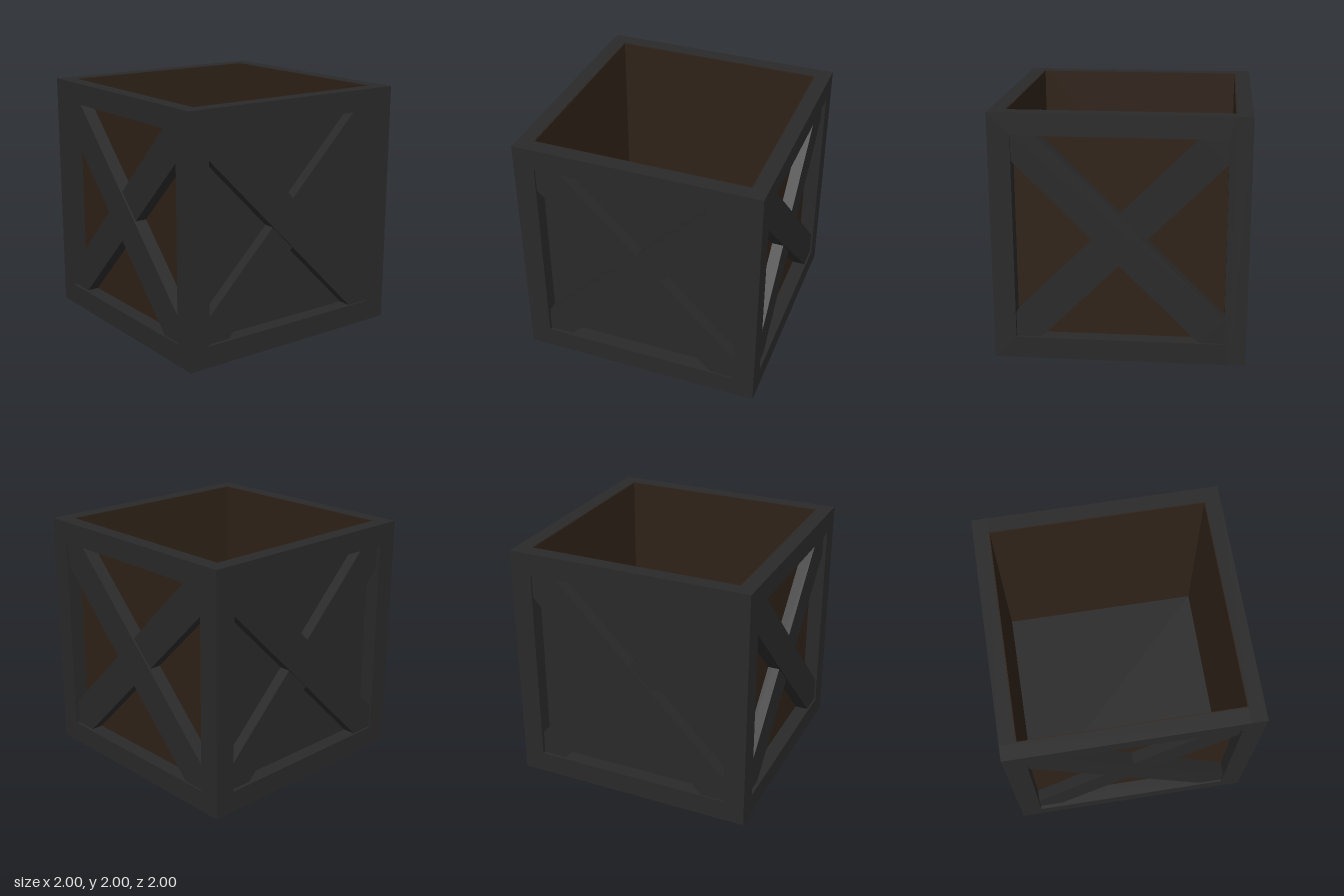
import * as THREE from 'three';

const HALF = 1;         // half of the crate's size
const INNER = 0.875;    // half of the cavity
const HOLE = 0.825;     // half of each framed window
const DEPTH = HALF - INNER;
const SKIN = 0.008;

const frameMat = new THREE.MeshStandardMaterial({ color: 0x292929 });
const woodMat = new THREE.MeshStandardMaterial({ color: 0x2e2218 });

function polygon(points) {
  return new THREE.Shape(points.map(([x, y]) => new THREE.Vector2(x, y)));
}

// Flat piece cut from a shape, running from z = back to z = front
function plate(name, shape, back, front, material) {
  const geo = new THREE.ExtrudeGeometry(shape, { depth: front - back, bevelEnabled: false });
  geo.translate(0, 0, back);
  const mesh = new THREE.Mesh(geo, material);
  mesh.name = name;
  return mesh;
}

function rectangle(x0, x1, y0, y1) {
  return polygon([[x0, y0], [x1, y0], [x1, y1], [x0, y1]]);
}

function framed(x0, x1, y0, y1) {
  const shape = rectangle(x0, x1, y0, y1);
  shape.holes.push(rectangle(-HOLE, HOLE, -HOLE, HOLE));
  return shape;
}

// Diagonal board, its ends cut to fit the window corners
function diagonal(mirror) {
  const h = HOLE, c = HOLE - 0.2;
  return polygon([[-h, h], [-h, c], [c, -h], [h, -h], [h, -c], [-c, h]]
    .map(([x, y]) => [x * mirror, y]));
}

// One wall facing +z, centred on its window
function createSide(greyPanel) {
  const side = new THREE.Group();
  side.add(
    plate('sideFrame', framed(-HALF, INNER, -HALF, HALF), INNER, HALF, frameMat),
    plate('sideLining', rectangle(-INNER, INNER - SKIN, -INNER, HALF - 0.002), INNER - SKIN, INNER, woodMat),
    plate('upperBrace', diagonal(1), INNER, 0.985, frameMat),
    plate('lowerBrace', diagonal(-1), INNER, 0.97, frameMat)
  );
  if (greyPanel) {
    side.add(plate('sidePanel', rectangle(-HOLE, HOLE, -HOLE, HOLE), INNER, INNER + 0.004, frameMat));
  }
  return side;
}

export function createModel() {
  const crate = new THREE.Group();
  crate.name = 'crate';

  // Four walls, each overlapping the next at the corner
  ['frontSide', 'leftSide', 'backSide', 'rightSide'].forEach((name, i) => {
    const side = createSide(i % 2 === 0);
    side.name = name;
    side.position.y = HALF;
    side.rotation.y = i * Math.PI / 2;
    crate.add(side);
  });

  // Bottom: frame, wooden underside and dark floor
  const bottom = new THREE.Group();
  bottom.name = 'bottom';
  bottom.add(
    plate('bottomFrame', framed(-INNER, INNER, -INNER, INNER), INNER, HALF, frameMat),
    plate('undersidePanel', rectangle(-INNER, INNER, -INNER, INNER), INNER - SKIN, INNER, woodMat),
    plate('floor', rectangle(-INNER, INNER, -INNER, INNER), INNER - 2 * SKIN, INNER - SKIN, frameMat)
  );
  bottom.rotation.x = Math.PI / 2;
  bottom.position.y = HALF;
  crate.add(bottom);

  return crate;
}
